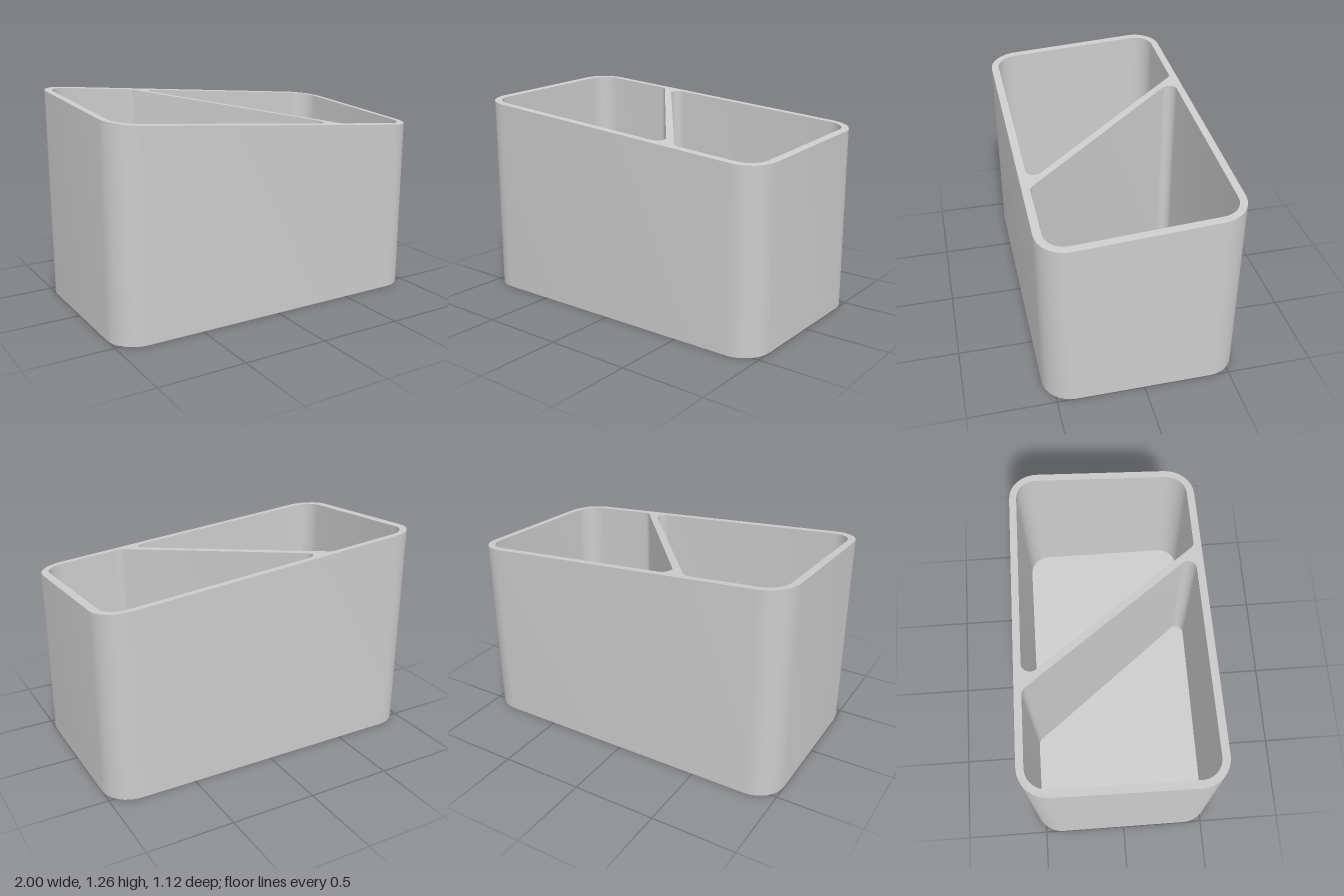
import * as THREE from 'three';
import { toCreasedNormals } from 'three/addons/utils/BufferGeometryUtils.js';

const material = new THREE.MeshStandardMaterial({ color: 0xcccccc });
const BASE = 0.05;

// Height of the sloping rim above a point of the plan
const rimHeight = (x, z) => 1.1425 - 0.0875 * x - 0.0625 * z;

// Plan points [x, z, radius] joined into an outline with true round corners
function roundedOutline(corners, steps = 8) {
  const points = [];
  corners.forEach(([x, z, r], i) => {
    const n = corners.length;
    const p = new THREE.Vector2(x, -z);
    const toward = ([qx, qz]) => new THREE.Vector2(qx, -qz).sub(p).normalize();
    const a = toward(corners[(i + n - 1) % n]);
    const b = toward(corners[(i + 1) % n]);
    const half = Math.acos(a.dot(b)) / 2;
    const centre = a.clone().add(b).normalize().multiplyScalar(r / Math.sin(half)).add(p);
    const start = a.clone().multiplyScalar(r / Math.tan(half)).add(p).sub(centre);
    const turn = Math.sign(b.cross(a)) * (Math.PI - 2 * half);
    for (let k = 0; k <= steps; k++) {
      points.push(start.clone().rotateAround(new THREE.Vector2(), (turn * k) / steps).add(centre));
    }
  });
  return points;
}

// Upright prism over a plan shape, from y = bottom to top(x, z)
function prism(name, shape, bottom, top) {
  const geometry = new THREE.ExtrudeGeometry(shape, { depth: 1, bevelEnabled: false });
  geometry.rotateX(-Math.PI / 2);
  const pos = geometry.attributes.position;
  for (let i = 0; i < pos.count; i++) {
    pos.setY(i, pos.getY(i) > 0.5 ? top(pos.getX(i), pos.getZ(i)) : bottom);
  }
  const mesh = new THREE.Mesh(toCreasedNormals(geometry, 0.6), material);
  mesh.name = name;
  return mesh;
}

export function createModel() {
  const group = new THREE.Group();
  group.name = 'dividedContainer';

  const outer = roundedOutline([
    [-1, 0.56, 0.17], [1, 0.56, 0.17], [1, -0.56, 0.17], [-1, -0.56, 0.17],
  ]);

  // Two compartments, separated by a thin diagonal divider
  const front = 0.515, back = -0.518, side = 0.955;
  const divider = (z) => 0.785 * z;
  const gap = 0.053;
  const rightCompartment = roundedOutline([
    [-side, front, 0.12], [divider(front), front, 0.05],
    [divider(back), back, 0.05], [-side, back, 0.12],
  ]);
  const leftCompartment = roundedOutline([
    [divider(front) + gap, front, 0.05], [side, front, 0.12],
    [side, back, 0.12], [divider(back) + gap, back, 0.05],
  ]);

  // Walls and divider under the sloping rim
  const walls = new THREE.Shape(outer);
  walls.holes.push(new THREE.Path(rightCompartment), new THREE.Path(leftCompartment));
  group.add(prism('wallsAndDivider', walls, BASE, rimHeight));

  // Floor slab
  group.add(prism('base', new THREE.Shape(outer), 0, () => BASE));

  return group;
}
